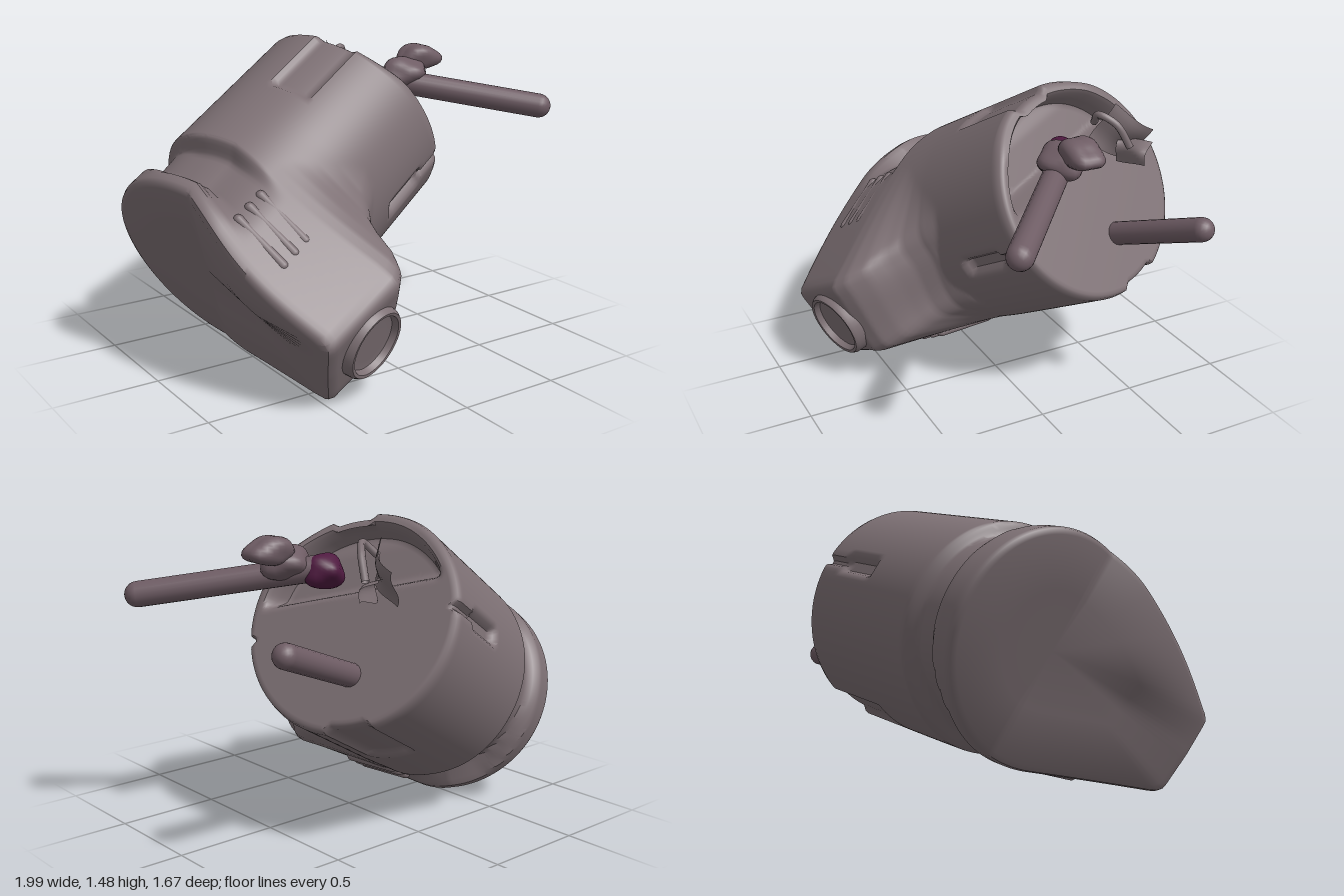
import * as THREE from 'three';
import { toCreasedNormals } from 'three/addons/utils/BufferGeometryUtils.js';

const mat = (color) => new THREE.MeshStandardMaterial({ color, side: THREE.DoubleSide });
const shellMat = mat(0x7d7074), pinMat = mat(0x6e5c64), stainMat = mat(0x4f1a40);
const V = (x, y, z) => new THREE.Vector3(x, y, z);
const sm = THREE.MathUtils.smoothstep;
const clamp = THREE.MathUtils.clamp;

function add(parent, name, geo, material = shellMat) {
  const m = new THREE.Mesh(geo, material);
  m.name = name;
  parent.add(m);
  return m;
}

// round-ended rod between two points
function rod(parent, name, p, q, r, material = shellMat) {
  const dir = q.clone().sub(p);
  const m = add(parent, name, new THREE.CapsuleGeometry(r, dir.length(), 6, 18), material);
  m.position.copy(p).add(q).multiplyScalar(0.5);
  m.quaternion.setFromUnitVectors(V(0, 1, 0), dir.normalize());
}

// irregular lump: a sphere pushed about by sine waves
function lump(parent, name, pos, scale, seed, material) {
  const g = new THREE.SphereGeometry(1, 24, 16), p = g.attributes.position;
  for (let i = 0; i < p.count; i++) {
    const v = V(0, 0, 0).fromBufferAttribute(p, i);
    const k = 1 + 0.13 * Math.sin(3 * v.x + seed) * Math.cos(3 * v.y - seed) + 0.09 * Math.sin(4 * v.z + 2 * seed);
    p.setXYZ(i, v.x * k, v.y * k, v.z * k);
  }
  g.computeVertexNormals();
  const m = add(parent, name, g, material);
  m.position.copy(pos);
  m.scale.copy(scale);
}

// crumpled thin flap
function flap(parent, name, pos, rot, w, h, bend) {
  const g = new THREE.PlaneGeometry(w, h, 10, 10), p = g.attributes.position;
  for (let i = 0; i < p.count; i++) {
    const x = p.getX(i) / w, y = p.getY(i) / h;
    p.setZ(i, bend * (Math.sin(5 * x) * 0.5 + Math.cos(4 * y + x)));
  }
  g.computeVertexNormals();
  const m = add(parent, name, g);
  m.position.copy(pos);
  m.rotation.set(...rot);
}

// smooth minimum, rounds the corner between two surfaces
function softMin(a, b, k) {
  const h = Math.max(0, k - Math.abs(a - b)) / k;
  return Math.min(a, b) - h * h * k * 0.25;
}

// teardrop outline: a circle of radius r drawn out to a flat end at z = R
function outline(t, r, R, h) {
  const far = Math.hypot(h, R);
  if (far <= r) return r;
  const phi = Math.atan2(h, R) + Math.acos(r / far);
  if (Math.abs(t) >= phi) return r;
  return Math.max(r, softMin(R / Math.cos(t), r / Math.cos(Math.abs(t) - phi), 0.05));
}

// how far the cable end reaches at each height
const reach = [[0, 0.83], [0.34, 0.89], [0.39, 0.86], [0.44, 0.78], [0.48, 0.68], [0.52, 0.6], [0.58, 0.54], [0.7, 0.49], [2, 0.48]];
function reachAt(y) {
  const i = Math.max(1, reach.findIndex((p) => p[0] >= y));
  const [a, b] = [reach[i - 1], reach[i]];
  return a[1] + (b[1] - a[1]) * clamp((y - a[0]) / (b[0] - a[0]), 0, 1);
}

// window that is 1 inside [a, b] with soft edges
const band = (v, a, b, e) => sm(v, a - e, a + e) * (1 - sm(v, b - e, b + e));

// backward lean of the cable half, bulging on the upper side
function lean(x, y, z) {
  const out = Math.max(0, z);
  const bulge = 0.07 * Math.sin(Math.PI * Math.min(1, out / 0.8)) * sm(-x, -0.02, 0.2);
  return (0.26 * out * (1 + 0.4 * Math.min(0, x)) + bulge) * clamp(1 - y / 0.6, 0, 1);
}

function shellGeometry() {
  const N = 192, rows = [[0, 0], [0, 0.5], [0, 0.94], [0.01, 0.985]];
  for (let y = 0.03; y < 1.175; y += y > 0.28 && y < 0.62 ? 0.01 : 0.02) rows.push([y, 1]);
  rows.push([1.19, 0.985], [1.2, 0.96]);
  for (let s = 0.93; s > 0.01; s -= 0.025) rows.push([1.2, s]);
  rows.push([1.2, 0]);
  const pos = [], idx = [];
  rows.forEach(([y, s], i) => {
    for (let j = 0; j <= N; j++) {
      const t = (j / N) * Math.PI * 2 - Math.PI;
      let rad = outline(t, 0.53, reachAt(y + 0.05 * sm(Math.sin(t), -0.2, 0.25) * sm(y, 0.2, 0.3)), 0.21);
      // neck behind the rim, shallower at the far end, fading toward the cable
      const c = Math.cos(t), far = sm(-c, 0.3, 1);
      rad -= (0.11 - 0.1 * y) * (1 - 0.35 * far) * band(y, 0.1 + 0.07 * far, 0.315 + 0.03 * far, 0.03) * (1 - sm(c, 0, 0.6));
      // earthing channels above and below, slots on the flanks narrowing to the face
      const side = Math.abs(c), flank = Math.abs(Math.sin(t) - 0.05);
      if (s > 0.9) {
        rad -= 0.03 * band(side, -1, 0.2, 0.03) * sm(y, 0.74, 0.78);
        rad -= 0.04 * band(flank, -1, 0.075, 0.03) * band(y, 0.76, 1.02, 0.02);
        rad -= 0.03 * band(flank, -1, 0.035, 0.025) * sm(y, 1.0, 1.04);
      }
      rad *= s;
      const x = rad * Math.sin(t);
      let z = rad * c;
      // end wall is slanted toward the upper side
      if (z > 0) z *= 1 - 0.12 * x * (1 - sm(y, 0.3, 0.6));
      let yy = y - lean(x, y, z) - 0.04 * sm(-x, 0.35, 0.52) * sm(y, 1.1, 1.2);
      // upper half of the face is broken open
      if (y > 1.18) yy -= 0.13 * sm(-x, 0.1, 0.2) * (1 - sm(s, 0.82, 0.9));
      pos.push(x, yy, z);
      if (i && j < N) {
        const a = (i - 1) * (N + 1) + j, b = a + N + 1;
        idx.push(a, a + 1, b, a + 1, b + 1, b);
      }
    }
  });
  const g = new THREE.BufferGeometry();
  g.setAttribute('position', new THREE.Float32BufferAttribute(pos, 3));
  g.setIndex(idx);
  return toCreasedNormals(g, 0.8);
}

export function createModel() {
  const root = new THREE.Group();
  root.name = 'angledPlug';

  // plug body: local y runs from back plate to face, local z toward the cable
  const plug = new THREE.Group();
  plug.name = 'plugBody';
  const a = V(0.84, 0.48, -0.25).normalize();
  const w = a.clone().cross(V(0.4, -0.24, 0.885)).normalize();
  const d = w.clone().cross(a);
  plug.quaternion.setFromRotationMatrix(new THREE.Matrix4().makeBasis(w, a, d));
  plug.position.set(-0.71, 0.48, -0.04);
  root.add(plug);
  add(plug, 'shell', shellGeometry());

  // finger grips on both sides
  for (const s of [-1, 1]) for (let i = 0; i < 3; i++) {
    const y = 0.1 + i * 0.08 + s * 0.03;
    rod(plug, 'gripRib', V(s * 0.452, y - 0.03, 0.24), V(s * 0.355, y - 0.08, 0.5), 0.024);
  }

  // cable outlet: raised collar with a shallow bowl
  const profile = [[0.18, -0.04], [0.174, 0.015], [0.163, 0.032], [0.148, 0.03], [0.138, 0.0], [0.1, -0.003], [0, 0.008]];
  const outlet = add(plug, 'cableOutlet', toCreasedNormals(
    new THREE.LatheGeometry(profile.map((p) => new THREE.Vector2(...p)), 40), 0.6));
  outlet.position.set(0, 0.05, 0.88);
  outlet.rotation.x = Math.PI / 2 + 0.12;

  // contact pins: one straight, one bent out of the broken half
  rod(root, 'straightPin', V(0.38, 0.83, -0.45), V(0.85, 1.015, -0.59), 0.056, pinMat);
  rod(root, 'bentPin', V(0.33, 1.27, -0.19), V(0.945, 1.145, 0.375), 0.06, pinMat);
  lump(root, 'pinRoot', V(0.31, 1.25, -0.18), V(0.1, 0.08, 0.1), 1, stainMat);
  lump(root, 'meltedLump', V(0.57, 1.36, -0.12), V(0.12, 0.065, 0.08), 2.3, pinMat);
  lump(root, 'meltedBridge', V(0.45, 1.29, -0.09), V(0.13, 0.08, 0.11), 4, pinMat);

  // torn plastic in the break
  flap(root, 'tornFlap', V(0.26, 1.28, -0.53), [0.3, 1.1, 0.7], 0.22, 0.22, 0.03);
  flap(root, 'tornFlap', V(0.34, 1.22, -0.55), [-0.6, 0.5, 0.3], 0.16, 0.12, 0.03);
  const curl = new THREE.CatmullRomCurve3([V(0.2, 1.34, -0.42), V(0.27, 1.4, -0.4), V(0.33, 1.36, -0.46), V(0.36, 1.25, -0.52)]);
  add(root, 'tornStrand', new THREE.TubeGeometry(curl, 24, 0.018, 8));
  return root;
}
